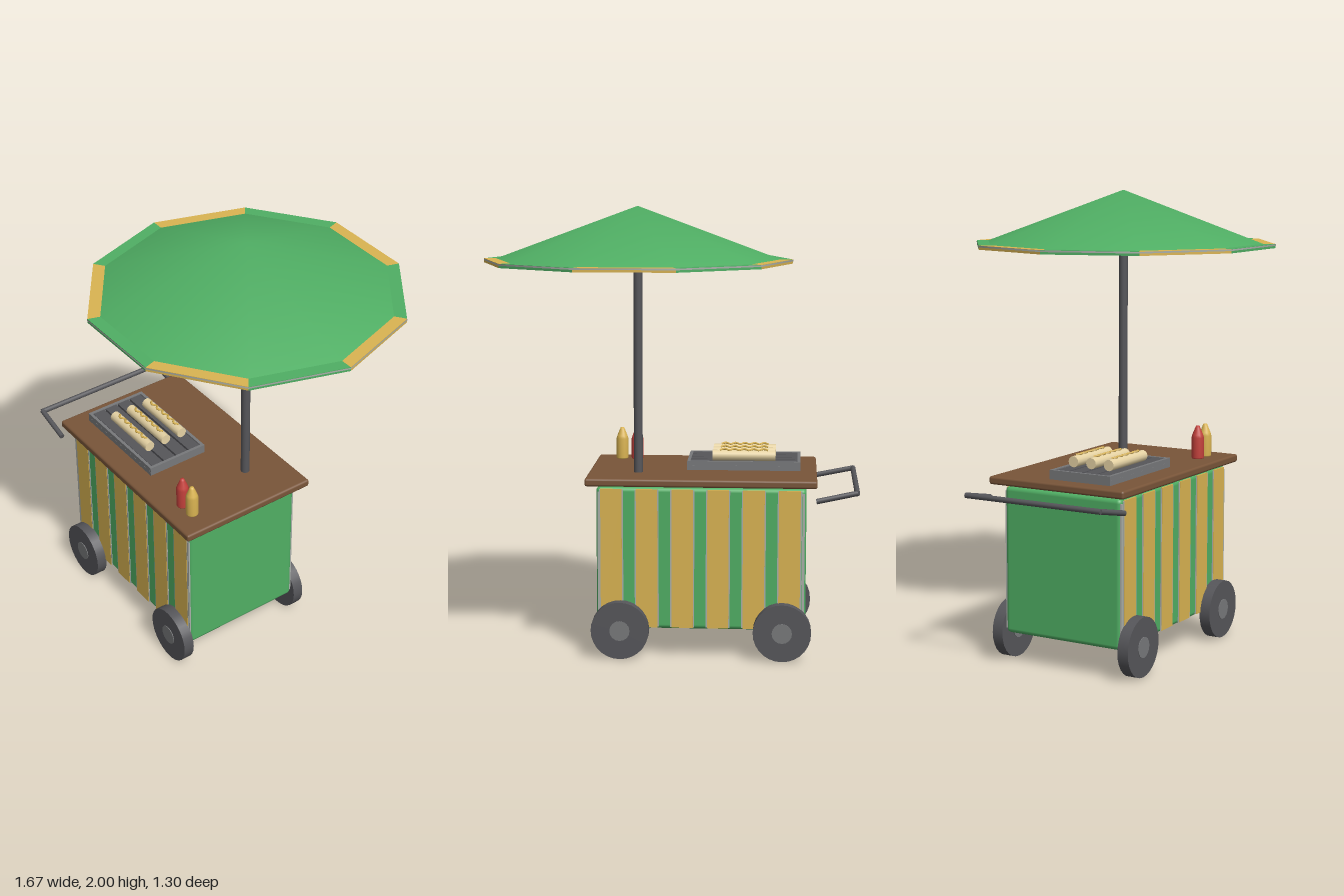
import * as THREE from 'three';
import { RoundedBoxGeometry } from 'three/addons/geometries/RoundedBoxGeometry.js';
import { mergeVertices } from 'three/addons/utils/BufferGeometryUtils.js';

const mat = (name, color) => new THREE.MeshStandardMaterial({ name, color });

export function createModel() {
  const root = new THREE.Group();
  root.name = 'foodCart';

  const green = mat('green', 0x50af64);
  const orange = mat('mustardYellow', 0xdab452);
  const brown = mat('brownWood', 0x795539);
  const dark = mat('darkGrey', 0x56565a);
  const grey = mat('midGrey', 0x78797b);
  const pale = mat('paleGrey', 0xabb0aa);
  const cream = mat('cream', 0xe6d3a4);
  const red = mat('red', 0xc4413c);

  const add = (name, geo, material, x = 0, y = 0, z = 0, parent = root) => {
    const m = new THREE.Mesh(geo, material);
    m.name = name;
    m.position.set(x, y, z);
    parent.add(m);
    return m;
  };
  const box = (w, h, d) => new THREE.BoxGeometry(w, h, d);

  // Cart body and countertop
  const cx = -0.138, cz = 0.145;
  add('body', new RoundedBoxGeometry(0.93, 0.64, 0.57, 3, 0.02), green, cx, 0.45, cz);
  add('counter', new RoundedBoxGeometry(1.022, 0.035, 0.66, 2, 0.01), brown, cx, 0.7975, 0.14);
  add('counterSupport', box(0.86, 0.03, 0.5), grey, cx, 0.77, cz);

  // Stripes and slim corner trims on the two long sides
  for (const s of [-1, 1]) {
    for (const sx of [-1, 1]) {
      add('cornerTrim', box(0.011, 0.6, 0.009), pale, cx + sx * 0.453, 0.45, cz + s * 0.282);
    }
    for (let i = 0; i < 6; i++) {
      const x = cx + 0.003 + (i - 2.5) * 0.158;
      add('stripeEdge', box(0.107, 0.62, 0.004), pale, x, 0.45, cz + s * 0.286);
      add('stripe', box(0.095, 0.625, 0.007), orange, x, 0.45, cz + s * 0.2865);
    }
  }

  // Wheels
  for (const x of [-0.5, 0.22]) for (const s of [-1, 1]) {
    const wheel = new THREE.Group();
    wheel.name = 'wheel';
    add('tyre', new THREE.CylinderGeometry(0.129, 0.129, 0.05, 28), dark, 0, 0, 0, wheel);
    add('hub', new THREE.CylinderGeometry(0.045, 0.045, 0.056, 16), grey, 0, 0, 0, wheel);
    wheel.rotation.x = Math.PI / 2;
    wheel.position.set(x, 0.13, cz + s * 0.311);
    root.add(wheel);
  }

  // Rod between two points
  const rod = (name, a, b, r, sides = 10) => {
    const p = new THREE.Vector3(...a), q = new THREE.Vector3(...b);
    const dir = q.clone().sub(p);
    const m = add(name, new THREE.CylinderGeometry(r, r, dir.length(), sides), dark);
    m.position.copy(p).add(q).multiplyScalar(0.5);
    m.quaternion.setFromUnitVectors(new THREE.Vector3(0, 1, 0), dir.normalize());
  };

  // Push handle
  rod('handleBar', [-0.823, 0.763, -0.185], [-0.823, 0.763, 0.47], 0.012);
  for (const s of [-1, 1]) {
    rod('handleArm', [-0.825, 0.764, 0.1425 + s * 0.3225], [-0.645, 0.726, 0.1425 + s * 0.3295], 0.012);
  }

  // Umbrella: pole, soft-shaded canopy and a ten-sided two-colour rim
  rod('pole', [0.15, 0.81, 0], [0.15, 1.755, 0], 0.02, 12);
  const umbrella = new THREE.Group();
  umbrella.name = 'umbrella';
  umbrella.position.set(0.15, 0, 0);
  root.add(umbrella);
  const step = Math.PI / 5;
  const cone = new THREE.ConeGeometry(0.634, 0.234, 10, 1, true, step / 2);
  cone.deleteAttribute('uv');
  cone.deleteAttribute('normal');
  const canopy = mergeVertices(cone);
  canopy.computeVertexNormals();
  add('canopy', canopy, green, 0, 1.883, 0, umbrella);
  for (let i = 0; i < 10; i++) {
    const geo = new THREE.CylinderGeometry(0.683, 0.683, 0.018, 1, 1, false, step * (i + 0.5), step).toNonIndexed();
    geo.computeVertexNormals();
    const top = i % 2 ? green : orange;
    const under = i === 2 || i === 6 ? orange : green;
    add('canopyRim', geo, [top, top, under], 0, 1.759, 0, umbrella);
  }
  add('rimPiping', new THREE.CylinderGeometry(0.6845, 0.6845, 0.007, 10, 1, true, step / 2), pale,
    0, 1.7635, 0, umbrella);

  // Grill: tray, frame and wide flat bars
  const gx = -0.32, gz = 0.216;
  add('grillTray', box(0.51, 0.022, 0.295), grey, gx, 0.825, gz);
  add('grillBed', box(0.48, 0.004, 0.267), dark, gx, 0.838, gz);
  for (const s of [-1, 1]) {
    add('grillFrameLong', box(0.51, 0.02, 0.014), grey, gx, 0.845, gz + s * 0.14);
    add('grillFrameShort', box(0.014, 0.02, 0.267), grey, gx + s * 0.248, 0.845, gz);
  }
  for (let i = 0; i < 4; i++) {
    add('grillBar', box(0.482, 0.014, 0.058), dark, gx, 0.845, gz + (i - 1.5) * 0.067);
  }

  // Hot dogs with a wavy line of sauce
  for (const z of [0.116, 0.203, 0.29]) {
    const bun = add('bun', new THREE.CylinderGeometry(0.024, 0.024, 0.285, 14), cream, gx, 0.876, z);
    bun.rotation.z = Math.PI / 2;
    const pts = [];
    for (let i = 0; i <= 10; i++) {
      pts.push(new THREE.Vector3((i - 5) * 0.022, i % 2 ? 0.004 : 0, i % 2 ? 0.008 : -0.008));
    }
    add('sauce', new THREE.TubeGeometry(new THREE.CatmullRomCurve3(pts), 40, 0.005, 5), orange,
      gx, 0.9, z);
  }

  // Sauce bottles
  const bottle = new THREE.LatheGeometry([
    [0, 0], [0.025, 0], [0.028, 0.006], [0.028, 0.095], [0.024, 0.108],
    [0.012, 0.138], [0.008, 0.147], [0, 0.147],
  ].map(([r, y]) => new THREE.Vector2(r, y)), 16);
  add('redBottle', bottle, red, 0.185, 0.814, 0.365);
  add('yellowBottle', bottle, orange, 0.256, 0.814, 0.365);

  return root;
}
